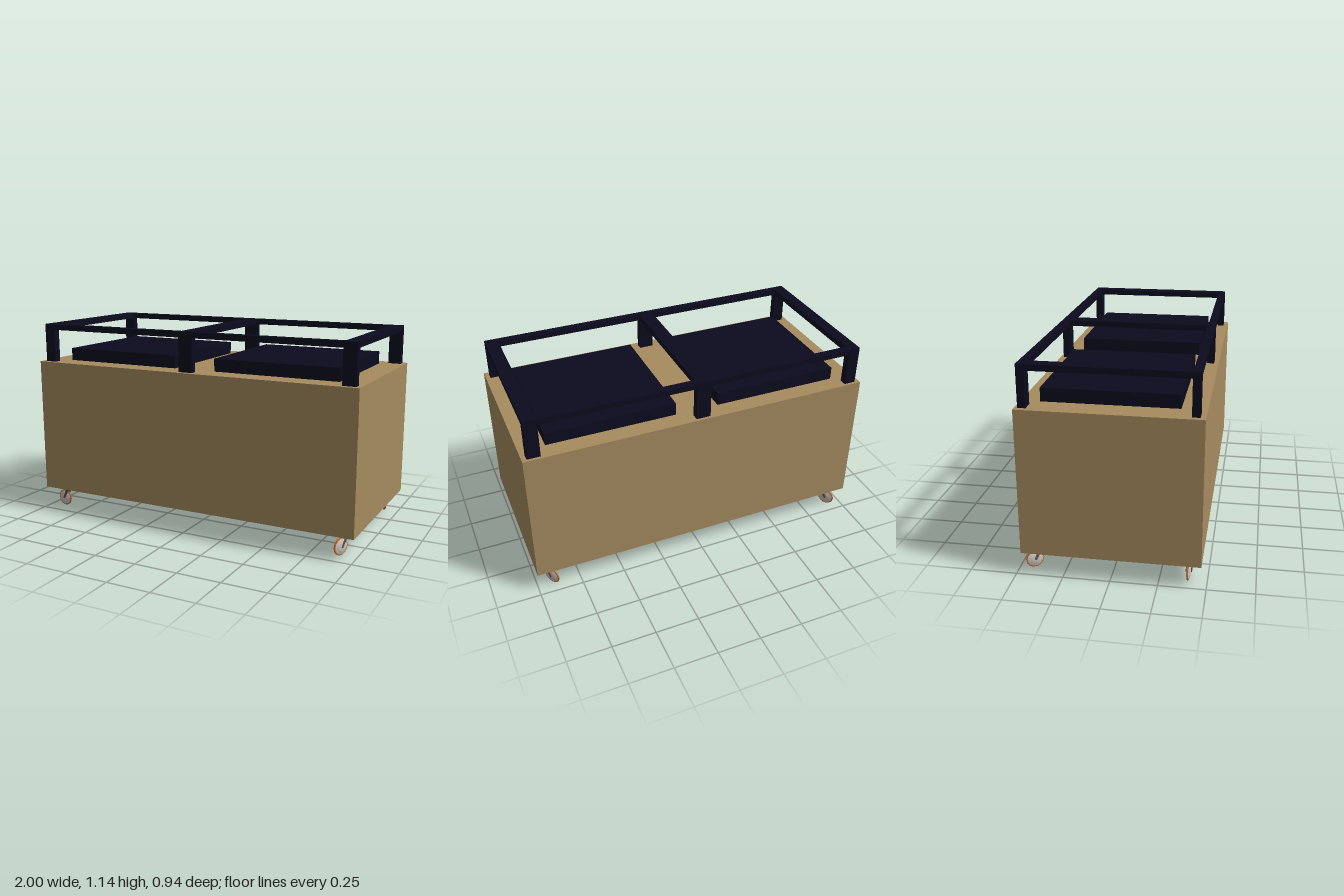
import * as THREE from 'three';

const mat = (name, color, flat = false) => {
  const m = new THREE.MeshStandardMaterial({ color, flatShading: flat });
  m.name = name;
  return m;
};

export function createModel() {
  const model = new THREE.Group();
  model.name = 'wheeledCart';
  const tan = mat('tan', 0xa68b5f);
  const navy = mat('darkNavy', 0x0b0b1e);
  const grey = mat('forkGrey', 0x555555, true);
  const pale = mat('wheelPale', 0xcfc4be, true);
  const orange = mat('treadOrange', 0xc8691e, true);

  // Box given by its minimum and maximum along each axis
  const box = (name, material, [x0, x1], [y0, y1], [z0, z1], parent = model) => {
    const mesh = new THREE.Mesh(new THREE.BoxGeometry(x1 - x0, y1 - y0, z1 - z0), material);
    mesh.position.set((x0 + x1) / 2, (y0 + y1) / 2, (z0 + z1) / 2);
    mesh.name = name;
    parent.add(mesh);
  };

  // Cabinet and the two lids
  const top = 0.925;
  box('cabinet', tan, [-1, 1], [0.13, top], [-0.472, 0.472]);
  box('lidRight', navy, [-0.86, -0.13], [top, 0.998], [-0.37, 0.342]);
  box('lidLeft', navy, [0.122, 0.855], [top, 0.998], [-0.37, 0.342]);

  // Guard frame: posts, cross rails and long rails
  const frame = new THREE.Group();
  frame.name = 'guardFrame';
  model.add(frame);
  const railY = [1.117, 1.15];
  const sides = [[-0.455, -0.413], [0.404, 0.445]];
  for (const x of [[-0.972, -0.905], [-0.048, 0.035], [0.9, 0.974]]) {
    for (const z of sides) box('post', navy, x, [top, railY[0]], z, frame);
    box('crossRail', navy, x, railY, [sides[0][0], sides[1][1]], frame);
  }
  for (const z of sides) {
    box('longRail', navy, [-0.905, -0.048], railY, z, frame);
    box('longRail', navy, [0.035, 0.9], railY, z, frame);
  }

  // Caster parts, wheel axle along local x, fork leaning toward local +z
  const lathe = (pts) => {
    const g = new THREE.LatheGeometry(pts.map(([r, y]) => new THREE.Vector2(r, y)), 14);
    return g.rotateZ(Math.PI / 2);
  };
  const hubGeo = lathe([[0, -0.013], [0.022, -0.011], [0.045, -0.004], [0.045, 0.004], [0.022, 0.011], [0, 0.013]]);
  const treadGeo = lathe([[0.044, -0.0046], [0.05, -0.003], [0.05, 0.003], [0.044, 0.0046]]);
  const armGeo = new THREE.CylinderGeometry(0.012, 0.007, 0.08, 6).scale(0.4, 1, 1);
  const stemGeo = new THREE.CylinderGeometry(0.015, 0.013, 0.026, 8);
  const axleGeo = new THREE.CylinderGeometry(0.005, 0.005, 0.034, 6).rotateZ(Math.PI / 2);

  const caster = (x, z, leanX, leanZ) => {
    const group = new THREE.Group();
    group.name = 'caster';
    const add = (name, geo, material, px = 0, py = 0, pz = 0, tilt = 0) => {
      const mesh = new THREE.Mesh(geo, material);
      mesh.position.set(px, py, pz);
      mesh.rotation.x = tilt;
      mesh.name = name;
      group.add(mesh);
    };
    add('wheel', hubGeo, pale);
    add('tread', treadGeo, orange);
    add('axle', axleGeo, grey);
    for (const s of [-1, 1]) add('forkArm', armGeo, grey, s * 0.014, 0.034, 0.018, 0.49);
    add('forkStem', stemGeo, grey, 0, 0.065, 0.036, 0.3);
    group.position.set(x, 0.054, z);
    group.rotation.y = Math.atan2(leanX, leanZ);
    model.add(group);
  };
  // Each wheel is swivelled its own way
  caster(0.908, 0.402, 0.42, -0.9);
  caster(0.908, -0.422, 0.57, 0.82);
  caster(-0.912, 0.402, 1, 0.1);
  caster(-0.912, -0.422, 0.57, 0.82);

  return model;
}
